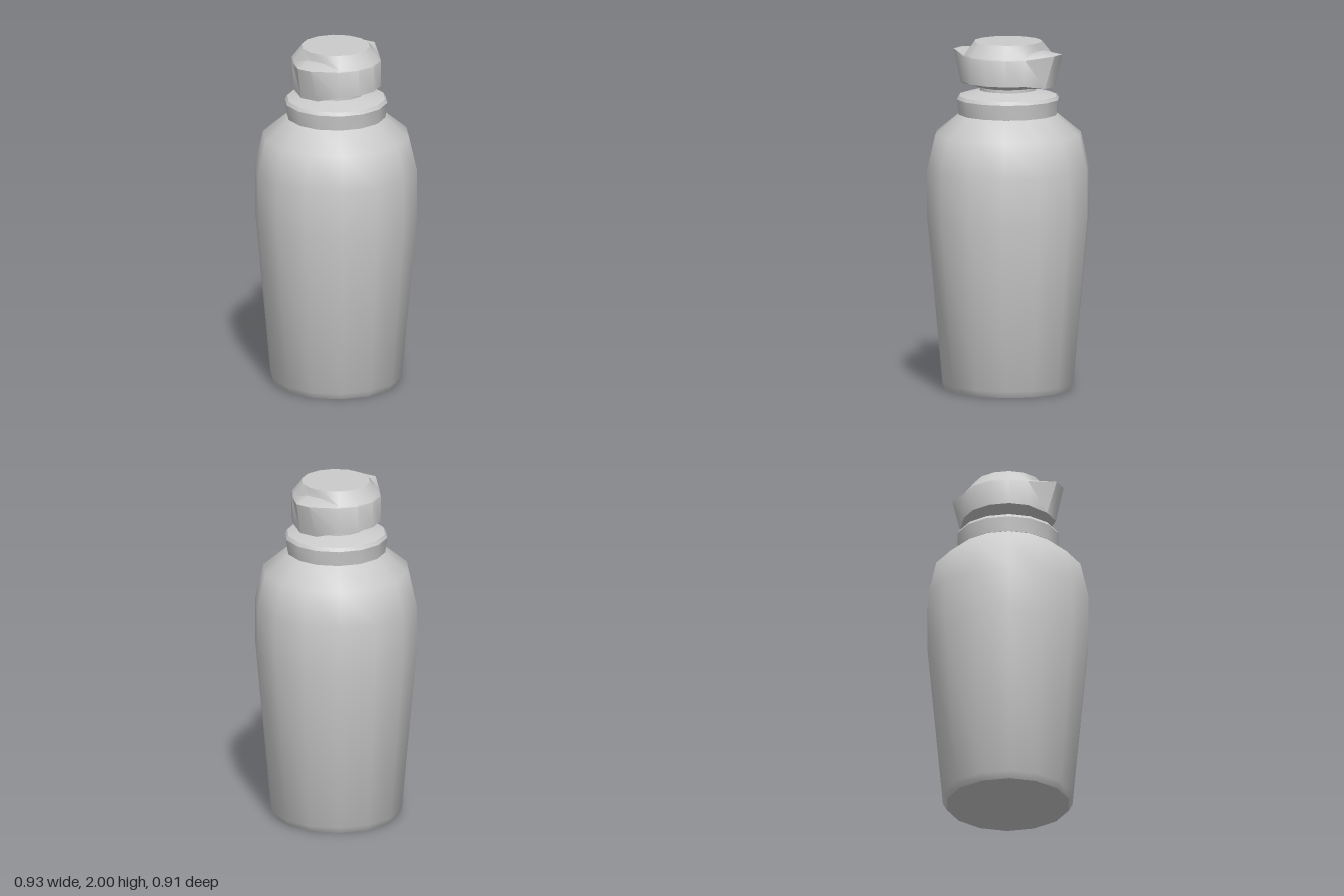
import * as THREE from 'three';
import { toCreasedNormals } from 'three/addons/utils/BufferGeometryUtils.js';

const SIDES = 14;

// Lathe with a corner on the x axis; profile runs from bottom to top as [radius, y]
function turned(profile) {
  const points = profile.map(([r, y]) => new THREE.Vector2(r, y));
  return new THREE.LatheGeometry(points, SIDES).rotateY(Math.PI / 2);
}

// Crease at an enlarged scale so that close vertices stay distinct
function crease(geometry, angle) {
  return toCreasedNormals(geometry.scale(10, 10, 10), angle).scale(0.1, 0.1, 0.1);
}

function addPart(group, name, geometry, angle) {
  const material = new THREE.MeshStandardMaterial({ color: 0xcccccc });
  const mesh = new THREE.Mesh(crease(geometry, angle), material);
  mesh.name = name;
  group.add(mesh);
}

export function createModel() {
  const group = new THREE.Group();
  group.name = 'bottle';

  // Tapered body with rounded shoulder
  addPart(group, 'body', turned([
    [0, 0], [0.355, 0], [0.378, 0.04], [0.466, 1.0], [0.466, 1.27], [0.42, 1.47], [0.28, 1.585],
  ]), 0.8);

  // Collar ring and short neck
  addPart(group, 'collar', turned([
    [0.27, 1.58], [0.284, 1.583], [0.295, 1.67], [0.282, 1.69], [0.165, 1.722], [0.165, 1.745],
  ]), 0.6);

  // Screw cap whose front and back corners are pulled out into two grip tabs
  const profile = [
    [0.165, 1.74], [0.258, 1.77], [0.258, 1.92], [0.25, 1.93], [0.195, 2], [0, 2],
  ];
  const tabs = { // profile row: [half width, z, y]
    1: [0.06, 0.273, 1.75],
    2: [0.046, 0.327, 1.94],
    3: [0.056, 0.198, 1.953],
  };
  const cap = turned(profile);
  const pos = cap.attributes.position;
  for (let i = 0; i < pos.count; i++) {
    const row = i % profile.length;
    const x = pos.getX(i), z = pos.getZ(i);
    if (tabs[row] && Math.abs(x) < 0.3 * profile[row][0]) {
      const [w, d, y] = tabs[row];
      pos.setXYZ(i, Math.sign(x) * w, y, Math.sign(z) * d);
    }
  }
  addPart(group, 'cap', cap, 0.75);

  return group;
}
